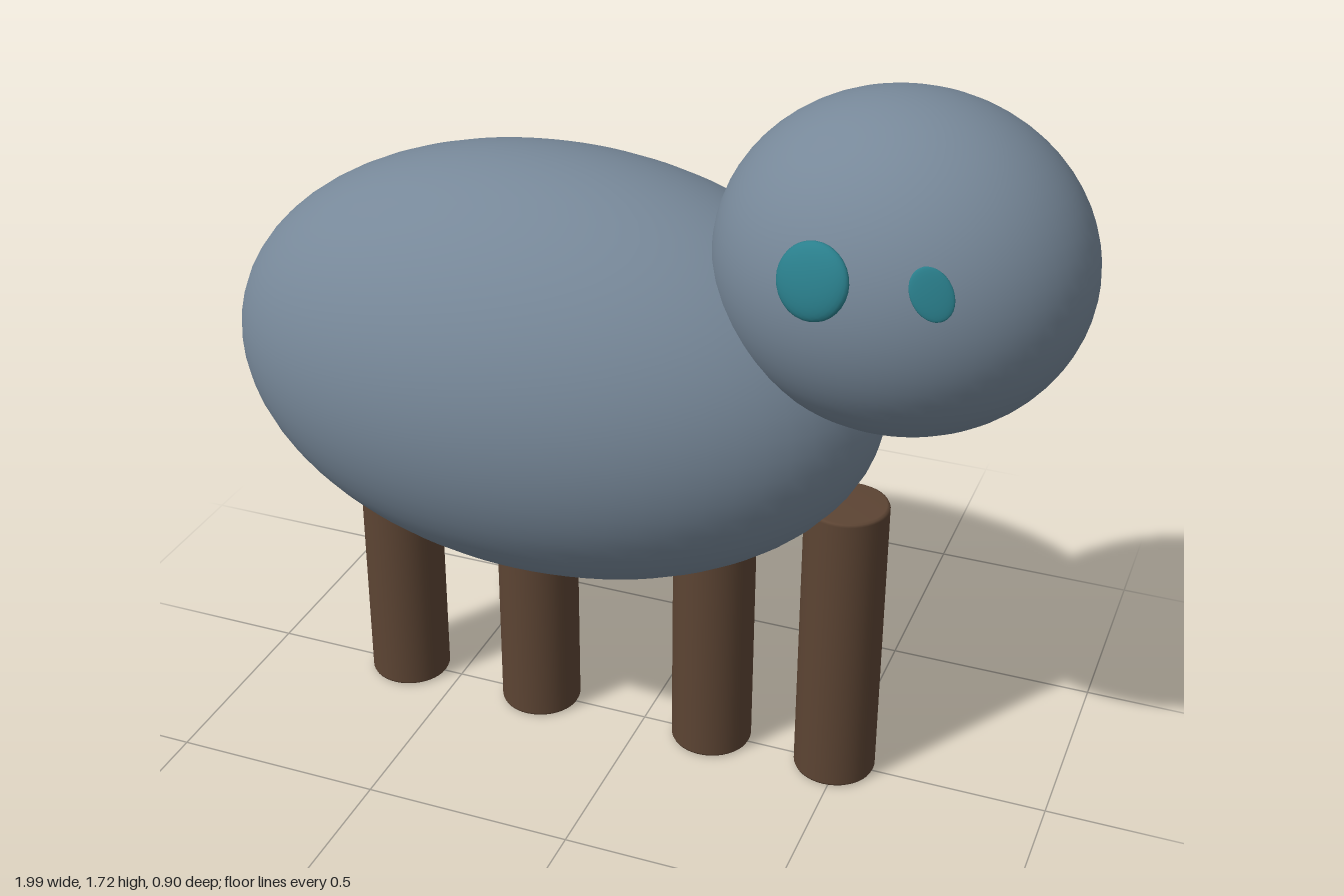
import * as THREE from 'three';

const wool = new THREE.MeshStandardMaterial({ color: 0x778899 });
const bark = new THREE.MeshStandardMaterial({ color: 0x5c4433 });
const teal = new THREE.MeshStandardMaterial({ color: 0x2a7f8c });

// Sphere stretched to the given centre and radii
function ellipsoid(name, material, centre, radii, segments = 64) {
  const mesh = new THREE.Mesh(new THREE.SphereGeometry(1, segments, segments / 2), material);
  mesh.name = name;
  mesh.position.set(...centre);
  mesh.scale.set(...radii);
  return mesh;
}

export function createModel() {
  const group = new THREE.Group();
  const headCentre = [0.587, 1.345, 0.02];
  const headRadii = [0.407, 0.37, 0.35];

  group.add(ellipsoid('body', wool, [-0.22, 0.955, 0], [0.78, 0.505, 0.45]));
  group.add(ellipsoid('head', wool, headCentre, headRadii));

  // Thin discs lying on the surface of the head
  const addEye = (name, x, y, lift, radii, roll) => {
    const u = (x - headCentre[0]) / headRadii[0];
    const v = (y - headCentre[1]) / headRadii[1];
    const w = Math.sqrt(1 - u * u - v * v);
    const normal = new THREE.Vector3(u / headRadii[0], v / headRadii[1], w / headRadii[2]).normalize();
    const surface = new THREE.Vector3(x, y, headCentre[2] + w * headRadii[2]);
    const eye = ellipsoid(name, teal, surface.addScaledVector(normal, lift).toArray(), radii, 32);
    eye.quaternion.setFromUnitVectors(new THREE.Vector3(0, 0, 1), normal);
    eye.rotateZ(roll);
    group.add(eye);
  };
  addEye('rightEye', 0.488, 1.427, 0, [0.08, 0.082, 0.025], -0.5);
  addEye('leftEye', 0.725, 1.434, 0, [0.042, 0.058, 0.008], 0.5);

  // Four legs in a single row, with softly rounded rims
  const r = 0.097, h = 0.725, b = 0.008;
  const profile = [[0, 0], [r - b, 0], [r - b * 0.3, b * 0.3], [r, b],
    [r, h - b], [r - b * 0.3, h - b * 0.3], [r - b, h], [0, h]];
  const points = profile.map(([x, y]) => new THREE.Vector2(x, y));
  const legGeometry = new THREE.LatheGeometry(points, 40);
  [-0.64, -0.277, 0.175, 0.488].forEach((x, i) => {
    const leg = new THREE.Mesh(legGeometry, bark);
    leg.name = `leg${i + 1}`;
    leg.position.x = x;
    group.add(leg);
  });

  return group;
}
